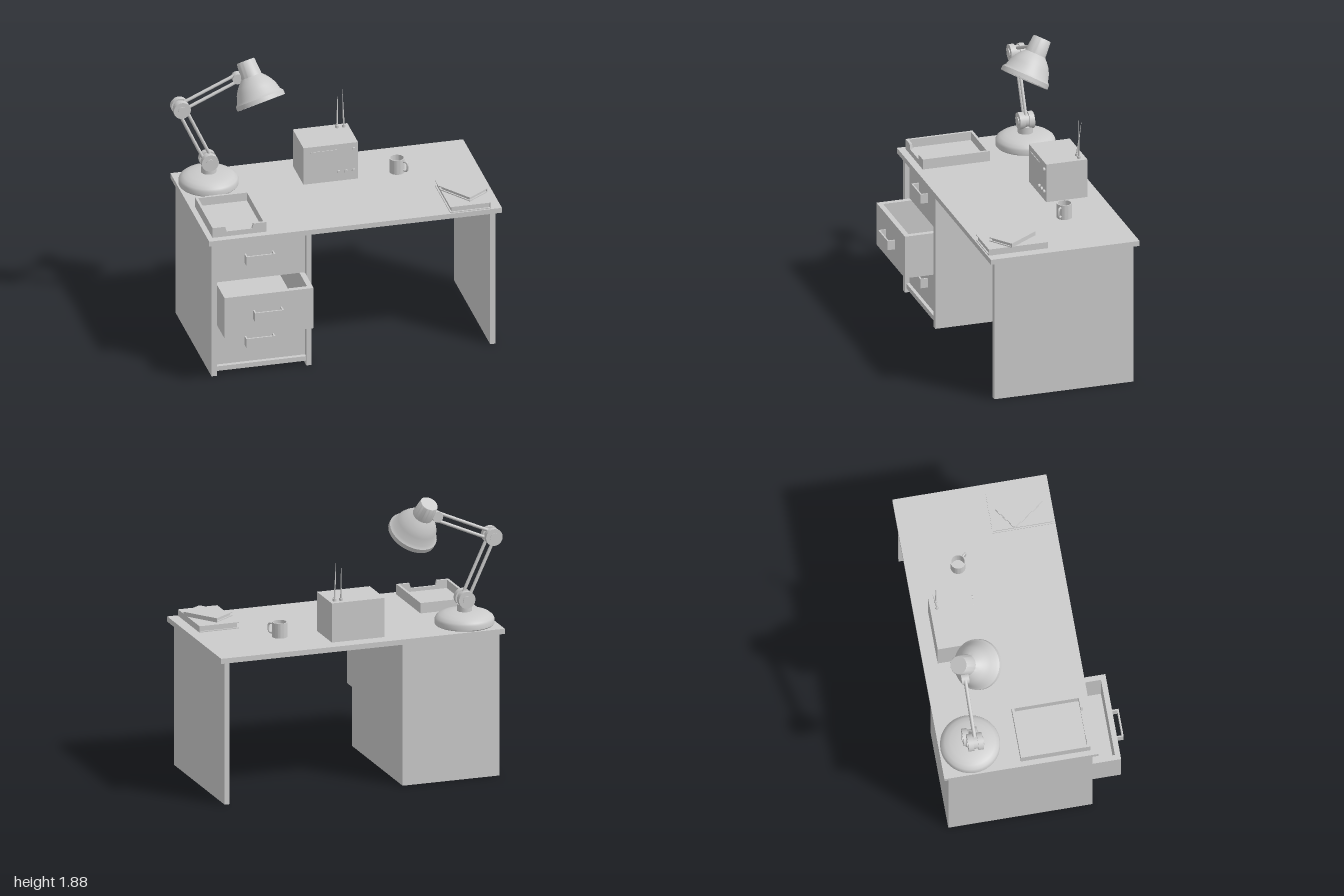
import * as THREE from 'three';
import { toCreasedNormals } from 'three/addons/utils/BufferGeometryUtils.js';

const grey = new THREE.MeshStandardMaterial({ color: 0xcccccc });
const greyThin = new THREE.MeshStandardMaterial({ color: 0xcccccc, side: THREE.DoubleSide });
const V = (x, y, z) => new THREE.Vector3(x, y, z);

function add(parent, name, geometry, material = grey) {
  const mesh = new THREE.Mesh(geometry, material);
  mesh.name = name;
  parent.add(mesh);
  return mesh;
}

function group(parent, name, x = 0, y = 0, z = 0) {
  const g = new THREE.Group();
  g.name = name;
  g.position.set(x, y, z);
  parent.add(g);
  return g;
}

// Box given by its minimum and maximum on each axis
function box(parent, name, x0, x1, y0, y1, z0, z1) {
  const mesh = add(parent, name, new THREE.BoxGeometry(x1 - x0, y1 - y0, z1 - z0));
  mesh.position.set((x0 + x1) / 2, (y0 + y1) / 2, (z0 + z1) / 2);
  return mesh;
}

// Round bar from a to b, optionally tapered
function rod(parent, name, a, b, r0, r1 = r0, sides = 24) {
  const dir = b.clone().sub(a);
  const mesh = add(parent, name, new THREE.CylinderGeometry(r1, r0, dir.length(), sides));
  mesh.position.copy(a).add(b).multiplyScalar(0.5);
  mesh.quaternion.setFromUnitVectors(V(0, 1, 0), dir.normalize());
  return mesh;
}

function lathe(parent, name, points, material = grey) {
  const profile = points.map(([r, y]) => new THREE.Vector2(r, y));
  return add(parent, name, toCreasedNormals(new THREE.LatheGeometry(profile, 48), 0.6), material);
}

function buildDesk(root) {
  const desk = group(root, 'desk');
  box(desk, 'deskTop', -0.96, 1, 0.965, 1, -0.61, 0.405);
  box(desk, 'sidePanel', 0.93, 0.965, 0, 0.965, -0.58, 0.37);

  // Drawer cabinet
  const cabinet = group(desk, 'cabinet');
  box(cabinet, 'cabinetOuterSide', -0.935, -0.9, 0, 0.965, -0.58, 0.37);
  box(cabinet, 'cabinetInnerSide', -0.3, -0.265, 0, 0.965, -0.58, 0.37);
  box(cabinet, 'cabinetBack', -0.9, -0.3, 0, 0.965, -0.58, -0.55);
  box(cabinet, 'cabinetFloor', -0.9, -0.3, 0.03, 0.063, -0.55, 0.36);

  // Three drawers, the middle one pulled out
  const heights = [0.067, 0.367, 0.664, 0.963];
  for (let i = 0; i < 3; i++) {
    const drawer = group(desk, 'drawer', -0.6, heights[i], i === 1 ? 0.565 : 0.34);
    const h = heights[i + 1] - heights[i] - 0.004;
    const w = 0.298, t = 0.035, back = -0.86;
    box(drawer, 'drawerFront', -w, w, 0, h, -t, 0);
    box(drawer, 'drawerBack', -w, w, 0, h, back, back + t);
    for (const s of [-1, 1]) {
      const side = box(drawer, 'drawerSide', -t / 2, t / 2, 0, h, back + t, -t);
      side.position.x = s * (w - t / 2);
    }
    box(drawer, 'drawerFloor', -w + t, w - t, 0, 0.03, back + t, -t);
    // Strap handle
    const handle = group(drawer, 'drawerHandle', -0.01, h / 2 + 0.005, 0);
    box(handle, 'handleGrip', -0.097, 0.097, -0.032, 0.032, 0.04, 0.05);
    for (const s of [-1, 1]) {
      box(handle, 'handleEnd', s * 0.092 - 0.005, s * 0.092 + 0.005, -0.032, 0.032, 0, 0.04);
    }
  }
}

function buildLamp(root) {
  const lamp = group(root, 'lamp');
  const base = lathe(lamp, 'lampBase',
    [[0, 0], [0.19, 0], [0.195, 0.006], [0.195, 0.035], [0.188, 0.05], [0.165, 0.068], [0.13, 0.08], [0.08, 0.088], [0, 0.09]]);
  base.position.set(-0.757, 1, -0.405);
  const foot = V(-0.757, 1.17, -0.405), elbow = V(-0.945, 1.575, -0.405), wrist = V(-0.565, 1.745, -0.405);
  rod(lamp, 'lampPost', V(-0.757, 1.08, -0.405), V(-0.757, 1.135, -0.405), 0.05);

  // Pivot joints: two discs around a core, with a boss on each side
  const along = (p, z) => p.clone().add(V(0, 0, z));
  for (const p of [foot, elbow]) {
    const joint = group(lamp, 'lampJoint');
    rod(joint, 'jointCore', along(p, -0.02), along(p, 0.02), 0.046);
    for (const s of [-1, 1]) {
      rod(joint, 'jointDisc', along(p, s * 0.015), along(p, s * 0.05), 0.057, 0.057, 36);
      rod(joint, 'jointBoss', along(p, s * 0.05), along(p, s * 0.056), 0.028);
    }
  }
  rod(lamp, 'wristJoint', along(wrist, -0.025), along(wrist, 0.025), 0.036);

  // Paired arm bars
  for (const [a, b] of [[foot, elbow], [elbow, wrist]]) {
    const d = b.clone().sub(a).normalize();
    const normal = V(-d.y, d.x, 0);
    for (const s of [-0.025, 0.025]) {
      rod(lamp, 'armBar', a.clone().addScaledVector(normal, s), b.clone().addScaledVector(normal, s), 0.011, 0.011, 12);
    }
  }

  // Hollow bell shade on its tilted axis
  const axis = V(0.235, -0.83, 0.5).normalize();
  const cap = V(-0.502, 1.845, -0.437);
  const shade = lathe(lamp, 'lampShade',
    [[0, 0], [0.058, 0], [0.061, 0.004], [0.07, 0.11], [0.09, 0.13], [0.114, 0.16], [0.134, 0.195], [0.149, 0.245],
      [0.165, 0.262], [0.165, 0.292], [0.152, 0.292], [0.138, 0.245], [0.122, 0.195], [0.1, 0.16], [0.06, 0.125], [0, 0.12]], greyThin);
  shade.position.copy(cap);
  shade.quaternion.setFromUnitVectors(V(0, 1, 0), axis);
  rod(lamp, 'shadeBracket', wrist, cap.clone().addScaledVector(axis, 0.09), 0.022);
}

function buildRadio(root) {
  const radio = group(root, 'radio');
  box(radio, 'radioCase', -0.165, 0.2, 1, 1.265, -0.515, -0.235);
  box(radio, 'radioStrip', -0.12, 0.06, 1.222, 1.228, -0.235, -0.231);
  for (const [x, y] of [[0.07, 1.065], [0.12, 1.065], [0.17, 1.065], [0.17, 1.22]]) {
    rod(radio, 'radioKnob', V(x, y, -0.235), V(x, y, -0.222), 0.012);
  }
  // Two tapering aerials on round sockets
  for (const [x, tipX, tipY, tipZ] of [[0.12, 0.13, 1.5, -0.497], [0.165, 0.155, 1.535, -0.47]]) {
    rod(radio, 'aerialSocket', V(x, 1.265, -0.47), V(x, 1.282, -0.47), 0.012);
    rod(radio, 'aerial', V(x, 1.28, -0.47), V(tipX, tipY, tipZ), 0.006, 0.001, 10);
  }
}

function buildMug(root) {
  const mug = group(root, 'mug', 0.47, 1, -0.27);
  lathe(mug, 'mugBody',
    [[0, 0], [0.05, 0], [0.05, 0.1], [0.043, 0.1], [0.043, 0.01], [0, 0.01]], greyThin);
  const curve = new THREE.CatmullRomCurve3(
    [V(0.046, 0.082, 0), V(0.072, 0.082, 0), V(0.08, 0.068, 0), V(0.08, 0.036, 0), V(0.07, 0.022, 0), V(0.046, 0.022, 0)]);
  add(mug, 'mugHandle', new THREE.TubeGeometry(curve, 32, 0.007, 10));
  mug.rotation.y = -0.8;
}

// Hardback with inset pages and its spine on +x
function buildBook(root, name, x, y, z, w, h, l, turn) {
  const book = group(root, name, x, y, z);
  const c = 0.006;
  box(book, 'lowerCover', -w / 2, w / 2, 0, c, -l / 2, l / 2);
  box(book, 'upperCover', -w / 2, w / 2, h - c, h, -l / 2, l / 2);
  box(book, 'spine', w / 2 - c, w / 2, c, h - c, -l / 2, l / 2);
  box(book, 'pages', -w / 2 + 0.01, w / 2 - c, c, h - c, -l / 2 + 0.01, l / 2 - 0.01);
  book.rotation.y = turn;
}

function buildTray(root) {
  const tray = group(root, 'paperTray');
  const [x0, x1, z0, z1, t] = [-0.925, -0.565, -0.1, 0.357, 0.017];
  box(tray, 'trayFloor', x0, x1, 1, 1.012, z0, z1);
  box(tray, 'trayLeftWall', x1 - t, x1, 1.012, 1.07, z0, z1);
  box(tray, 'trayRightWall', x0, x0 + t, 1.012, 1.07, z0, z1);
  box(tray, 'trayBackWall', x0 + t, x1 - t, 1.012, 1.07, z0, z0 + t);
  // Front wall with a finger notch
  const wall = new THREE.Shape([[x0 + t, 1.012], [x1 - t, 1.012], [x1 - t, 1.07], [-0.65, 1.07],
    [-0.66, 1.035], [-0.83, 1.035], [-0.84, 1.07], [x0 + t, 1.07]].map(p => new THREE.Vector2(...p)));
  add(tray, 'trayFrontWall', new THREE.ExtrudeGeometry(wall, { depth: t, bevelEnabled: false })).position.z = z1 - t;
}

export function createModel() {
  const root = new THREE.Group();
  root.name = 'deskWithAccessories';
  buildDesk(root);
  buildLamp(root);
  buildRadio(root);
  buildMug(root);
  buildTray(root);
  buildBook(root, 'largeBook', 0.793, 1, 0.193, 0.272, 0.043, 0.405, 0);
  buildBook(root, 'smallBook', 0.797, 1.043, 0.19, 0.178, 0.028, 0.26, 0.62);
  return root;
}
